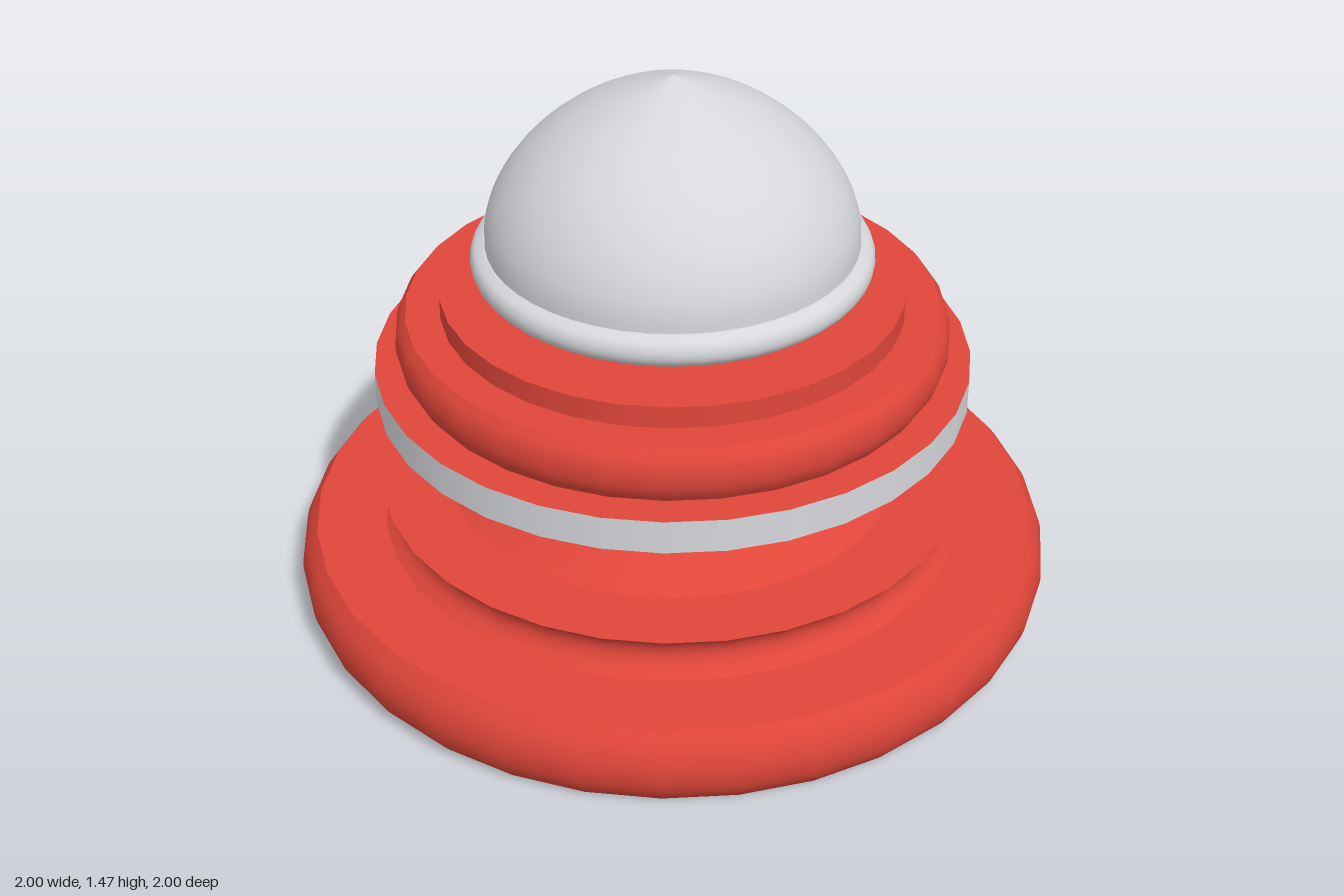
import * as THREE from 'three';
import { mergeGeometries } from 'three/addons/utils/BufferGeometryUtils.js';

const V = (p) => new THREE.Vector2(p[0], p[1]);

// Smooth run of profile points through a few [radius, height] pairs
const curve = (...p) => new THREE.SplineCurve(p.map(V)).getPoints(16)
  .map((v) => [Math.max(0, v.x), v.y]);

// Each run is turned on its own, so the edges between runs stay sharp
function turn(name, material, runs, sides = 32) {
  const geometry = mergeGeometries(runs.map((run) =>
    new THREE.LatheGeometry(run.map(V), sides, Math.PI / sides, Math.PI * 2)));
  const mesh = new THREE.Mesh(geometry, material);
  mesh.name = name;
  return mesh;
}

// A solid turned part: bottom cap, side, top cap
function turnedSolid(name, material, side, sides) {
  const first = side[0], last = side[side.length - 1];
  return turn(name, material, [
    [[0, first[1]], first],
    side,
    [last, [0, last[1]]],
  ], sides);
}

export function createModel() {
  const red = new THREE.MeshStandardMaterial({ color: 0xe0463a });
  red.name = 'red';
  const silver = new THREE.MeshStandardMaterial({ color: 0xd6d7db });
  silver.name = 'silver';

  const model = new THREE.Group();
  model.name = 'turnedFinial';

  model.add(
    // Wide rounded foot
    turnedSolid('base', red, curve([0.96, 0], [0.992, 0.045], [1.005, 0.105], [0.992, 0.165], [0.96, 0.212])),
    // Hollow moulding above the foot
    turnedSolid('cove', red, curve([0.775, 0.212], [0.748, 0.238], [0.738, 0.27], [0.748, 0.302], [0.777, 0.33])),
    // Flared neck
    turnedSolid('neck', red, curve([0.6, 0.33], [0.51, 0.39], [0.435, 0.46], [0.385, 0.53], [0.36, 0.6])),
    // Flat disc: red faces with a silver rim
    turn('discFaces', red, [[[0, 0.6], [0.776, 0.6]], [[0.776, 0.69], [0, 0.69]]]),
    turn('discRim', silver, [[[0.776, 0.6], [0.776, 0.69]]]),
    // Rounded ring and its step
    turnedSolid('roundedRing', red, curve([0.69, 0.69], [0.711, 0.725], [0.718, 0.765], [0.711, 0.805], [0.69, 0.836])),
    turnedSolid('topStep', red, [[0.6, 0.836], [0.6, 0.895]]),
    // Silver collar under the dome
    turnedSolid('collar', silver, curve([0.36, 0.895], [0.45, 0.918], [0.503, 0.95], [0.516, 0.98], [0.507, 1.008], [0.482, 1.023]), 48),
    // Pointed dome
    turn('dome', silver, [curve([0.478, 1.023], [0.473, 1.09], [0.437, 1.18], [0.365, 1.275],
      [0.26, 1.36], [0.13, 1.425], [0, 1.472])], 48),
  );
  return model;
}
